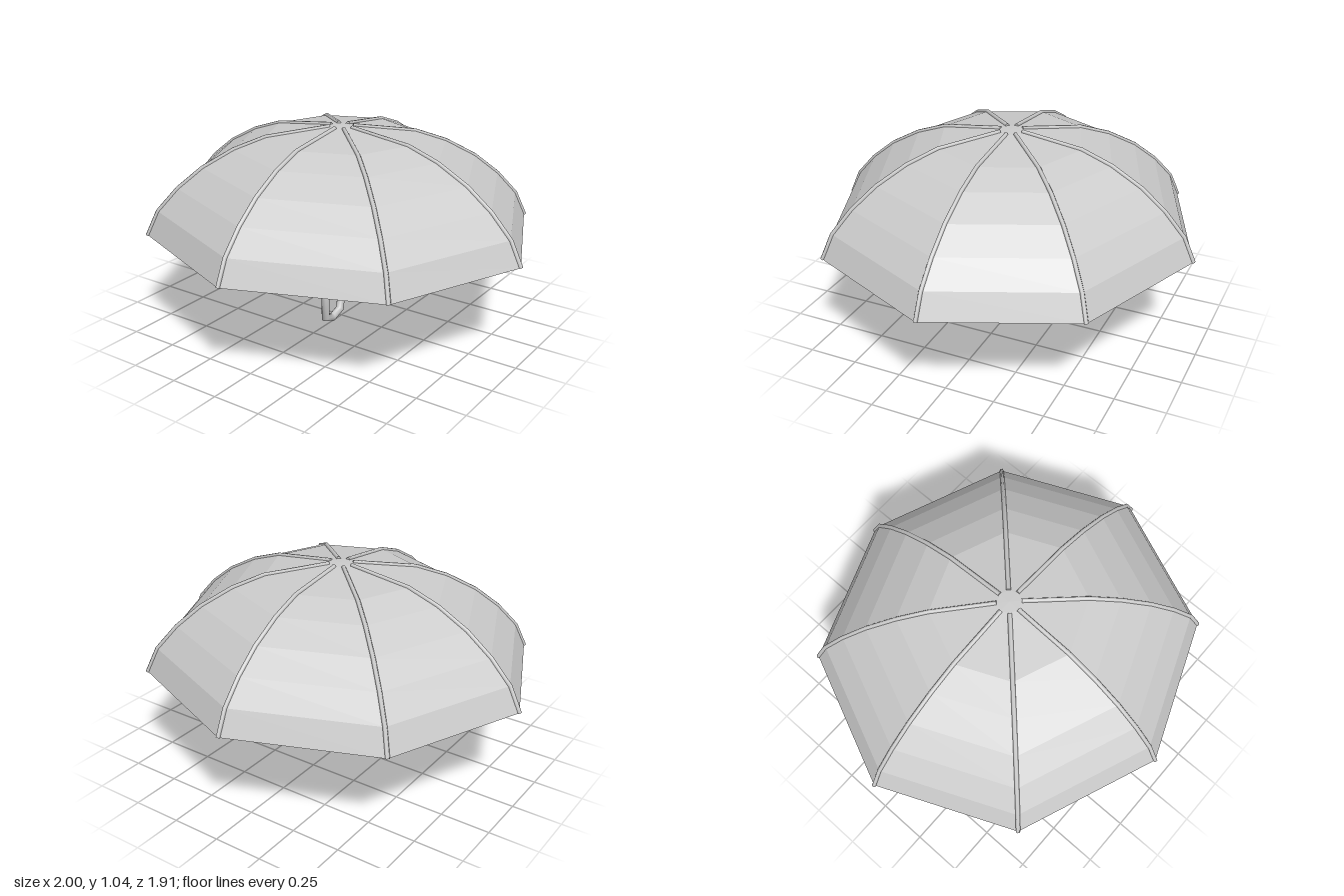
import * as THREE from 'three';

const smooth = new THREE.MeshStandardMaterial({ color: 0xcccccc });
const faceted = new THREE.MeshStandardMaterial({ color: 0xcccccc, flatShading: true });

// Round bar swept along [z, y] points in the x = 0 plane, with mitred corners and capped ends.
function sweep(path, radius, sides) {
  const pts = path.map(([z, y]) => new THREE.Vector2(z, y));
  const last = pts.length - 1;
  const pos = [], index = [];
  const ring = (i) => {
    const before = pts[Math.max(i, 1)].clone().sub(pts[Math.max(i, 1) - 1]).normalize();
    const k = Math.min(i, last - 1);
    const after = pts[k + 1].clone().sub(pts[k]).normalize();
    const t = before.clone().add(after).normalize();
    const r = radius / t.dot(after);
    for (let j = 0; j < sides; j++) {
      const a = (j / sides) * Math.PI * 2;
      pos.push(radius * Math.cos(a), pts[i].y + t.x * r * Math.sin(a), pts[i].x - t.y * r * Math.sin(a));
    }
  };
  for (let i = 0; i <= last; i++) ring(i);
  for (let i = 0; i < last; i++) {
    for (let j = 0; j < sides; j++) {
      const a = i * sides + j, b = i * sides + ((j + 1) % sides);
      index.push(a, b, b + sides, a, b + sides, a + sides);
    }
  }
  // Caps use their own vertices so the end edges stay sharp
  for (const end of [0, last]) {
    const base = pos.length / 3;
    ring(end);
    for (let j = 1; j < sides - 1; j++) {
      if (end === 0) index.push(base, base + j + 1, base + j);
      else index.push(base, base + j, base + j + 1);
    }
  }
  const g = new THREE.BufferGeometry();
  g.setAttribute('position', new THREE.Float32BufferAttribute(pos, 3));
  g.setIndex(index);
  g.computeVertexNormals();
  return g;
}

function part(name, geometry, material) {
  const mesh = new THREE.Mesh(geometry, material);
  mesh.name = name;
  return mesh;
}

export function createModel() {
  const model = new THREE.Group();
  model.name = 'umbrella';

  // Canopy: eight-sided thin shell, slightly narrower front to back
  const canopy = new THREE.Group();
  canopy.name = 'canopy';
  canopy.scale.z = 0.955;
  const curve = [
    [0.99, 0.513], [0.932, 0.635], [0.828, 0.747], [0.7, 0.847],
    [0.543, 0.932], [0.383, 0.988], [0.06, 1.028],
  ];
  const outer = [...curve, [0, 1.03]];
  const inner = outer.map(([r, y], i) => [Math.max(r - 0.01, 0), i === 0 ? y : y - 0.008]).reverse();
  const profile = [...outer, ...inner, outer[0]].map(([r, y]) => new THREE.Vector2(r, y));
  canopy.add(part('fabric', new THREE.LatheGeometry(profile, 8), faceted));

  // Raised ribs along the eight corners
  const ribShape = sweep(curve, 0.011, 6);
  const p = ribShape.attributes.position;
  for (let i = 0; i < p.count; i++) p.setY(i, Math.max(p.getY(i), 0.513));
  for (let i = 0; i < 8; i++) {
    const rib = part('rib', ribShape, smooth);
    rib.rotation.y = (i * Math.PI) / 4;
    canopy.add(rib);
  }
  model.add(canopy);

  // Shaft and hooked handle
  model.add(part('shaft', sweep([[0, 1.02], [0, 0.14]], 0.023, 12), smooth));
  const hook = [[0, 0.16], [0, 0.13], [0.014, 0.046], [0.083, 0.022], [0.143, 0.046], [0.144, 0.17]];
  model.add(part('handle', sweep(hook, 0.02, 12), smooth));

  return model;
}
